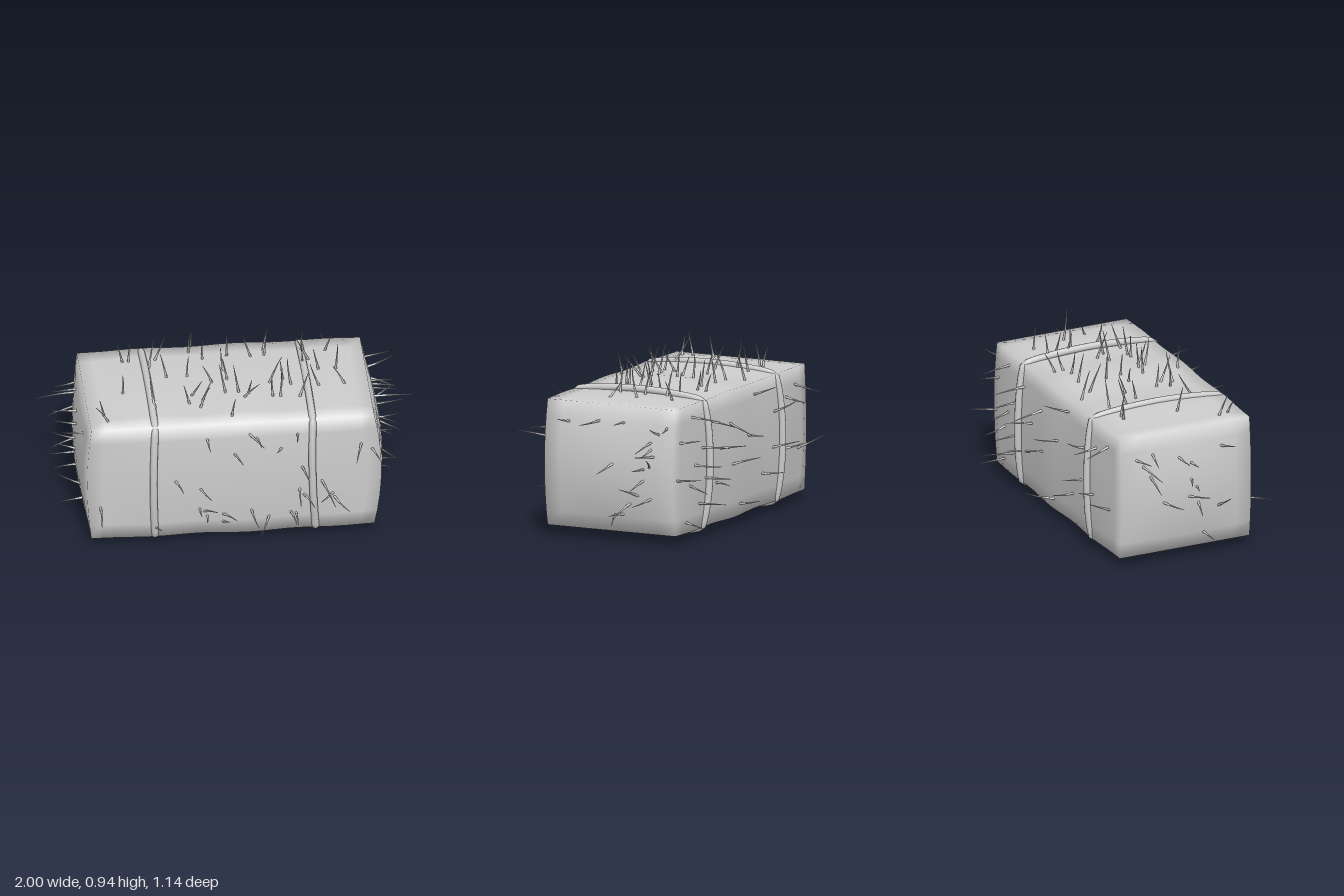
import * as THREE from 'three';
import { mergeVertices, mergeGeometries } from 'three/addons/utils/BufferGeometryUtils.js';

const HX = 0.765, HY = 0.345, HZ = 0.386, CY = 0.403;

// Small seeded generator for straw variation
let seed = 7;
function rand() {
  seed = (seed * 16807) % 2147483647;
  return seed / 2147483647;
}
const range = (a, b) => a + (b - a) * rand();

// Pushes a point of the plain box outwards into the lumpy bale shape
function bulge(p) {
  const u = p.x / HX, v = p.y / HY, w = p.z / HZ;
  const u4 = 1 - u ** 4, v2 = 1 - v * v, w2 = 1 - w * w;
  const wave = 0.01 * Math.cos((p.x - 0.08) * 12);
  const sag = v < 0 ? 0.012 * Math.exp(-(((p.x - 0.1) / 0.2) ** 2)) : 0;
  return p.set(
    p.x + u * v2 * (0.03 + 0.033 * w2) + 0.008 * v2,
    p.y + v * u4 * (0.002 + 0.018 * w2 + (wave + sag) * (0.25 + 0.75 * w2)) + CY,
    p.z + w * u4 * (0.005 + 0.022 * v2 + 0.3 * wave)
  );
}

// One tapering, slightly bent straw standing on a point of a face
function makeStraw(foot, normal, length, tilt) {
  const g = new THREE.CylinderGeometry(0.0015, 0.008, length, 5, 3);
  g.translate(0, length / 2, 0);
  const pos = g.attributes.position, bend = range(-0.025, 0.025);
  for (let i = 0; i < pos.count; i++) {
    pos.setX(i, pos.getX(i) + bend * (pos.getY(i) / length) ** 2);
  }
  g.rotateY(range(0, Math.PI * 2));
  const dir = normal.clone().add(new THREE.Vector3(range(-tilt, tilt), range(-tilt, tilt), range(-tilt, tilt))).normalize();
  g.applyQuaternion(new THREE.Quaternion().setFromUnitVectors(new THREE.Vector3(0, 1, 0), dir));
  return g.translate(foot.x, foot.y, foot.z);
}

// Straw roots, as pairs of coordinates on each face
const topXZ = [
  -0.53, -0.25, -0.50, -0.25, -0.40, -0.16, -0.36, -0.25, -0.17, -0.33, -0.31, -0.07, -0.56, 0.05,
  -0.20, -0.08, -0.10, -0.25, 0, -0.10, 0.01, -0.01, 0.03, -0.25, -0.01, 0.11, -0.20, 0.10,
  -0.21, 0.18, -0.14, 0.15, -0.16, 0.22, -0.07, 0, 0.06, 0.12, 0.11, 0.13, 0.08, 0.16,
  0.16, -0.23, 0.23, -0.24, 0.23, -0.29, 0.23, 0.03, 0.24, 0.16, 0.28, 0.16, 0.31, -0.01,
  0.35, 0.05, 0.38, 0.17, 0.43, -0.24, 0.47, -0.18, 0.51, -0.07, 0.56, -0.26, 0.60, -0.07,
  0.64, 0.08, 0.50, 0.08, 0.43, -0.13, -0.68, 0.24, -0.66, 0.30, 0, 0.32, -0.40, 0.22];
const frontXY = [
  -0.31, 0.41, -0.18, 0.35, -0.14, 0.66, 0, 0.56, 0.08, 0.68, 0.12, 0.65, 0.25, 0.58,
  0.34, 0.66, 0.34, 0.32, 0.35, 0.46, 0.45, 0.37, 0.52, 0.26, 0.52, 0.28, 0.67, 0.58,
  0.72, 0.54, -0.70, 0.26, -0.42, 0.12, -0.18, 0.22, -0.14, 0.17, -0.06, 0.18, -0.16, 0.20,
  -0.06, 0.13, 0.09, 0.21, 0.19, 0.16, 0.33, 0.16, 0.36, 0.28, 0.30, 0.17];
const leftZY = [
  0.06, 0.66, 0.24, 0.64, -0.09, 0.66, -0.04, 0.44, -0.30, 0.61, -0.34, 0.65, -0.26, 0.57,
  -0.26, 0.53, -0.28, 0.49, -0.22, 0.42, -0.25, 0.43, -0.22, 0.36, -0.19, 0.27, -0.14, 0.23,
  -0.09, 0.16, -0.04, 0.16, -0.26, 0.26];
const rightZY = [
  -0.26, 0.58, -0.30, 0.62, -0.20, 0.64, -0.22, 0.52, 0.02, 0.47, 0.05, 0.42, 0, 0.37,
  0.06, 0.33, 0.10, 0.14, 0.20, 0.62, 0.02, 0.56, -0.15, 0.36, 0.18, 0.28, -0.05, 0.60];
const backXY = [
  -0.62, 0.66, -0.50, 0.61, -0.47, 0.33, -0.35, 0.55, -0.33, 0.36, -0.22, 0.24, -0.05, 0.48,
  0.02, 0.12, 0.13, 0.35, 0.15, 0.58, 0.30, 0.28, 0.38, 0.63, 0.43, 0.33, 0.47, 0.50,
  0.50, 0.20, 0.55, 0.42, 0.58, 0.68, 0.60, 0.32, 0.64, 0.12, 0.70, 0.56, 0.72, 0.36,
  -0.15, 0.68, -0.64, 0.30, 0.26, 0.46];

const faces = [
  { name: 'topStraw', roots: topXZ, normal: [0, 1, 0], place: (a, b) => [a, HY, b] },
  { name: 'frontStraw', roots: frontXY, normal: [0, 0, 1], place: (a, b) => [a, b - CY, HZ] },
  { name: 'backStraw', roots: backXY, normal: [0, 0, -1], place: (a, b) => [a, b - CY, -HZ] },
  { name: 'leftEndStraw', roots: leftZY, normal: [1, 0, 0], place: (a, b) => [HX, b - CY, a], isEnd: true },
  { name: 'rightEndStraw', roots: rightZY, normal: [-1, 0, 0], place: (a, b) => [-HX, b - CY, a], isEnd: true }
];

// Twine loop hugging the bale at one x position
function makeTwine(x, lean) {
  const points = [];
  const add = (y, z) => points.push(new THREE.Vector3(x - lean * (y - CY) - 0.015 * Math.cos((y - CY) * 4) + 0.01, y, z));
  const half = [[0.778, 0], [0.77, 0.2], [0.752, 0.35], [0.738, 0.385], [0.7, 0.397], [0.58, 0.415], [0.4, 0.423],
    [0.22, 0.415], [0.1, 0.397], [0.062, 0.385], [0.046, 0.35], [0.026, 0.2], [0.02, 0]];
  half.forEach(([y, z]) => add(y, z));
  half.slice(1, -1).reverse().forEach(([y, z]) => add(y, -z));
  const path = new THREE.CatmullRomCurve3(points, true);
  return new THREE.TubeGeometry(path, 96, 0.02, 8, true);
}

export function createModel() {
  const group = new THREE.Group();
  const grey = new THREE.MeshStandardMaterial({ color: 0xcccccc });
  grey.name = 'straw grey';
  const add = (name, geometry) => {
    const mesh = new THREE.Mesh(geometry, grey);
    mesh.name = name;
    group.add(mesh);
  };
  seed = 7;

  // Bale body, with shared corners so the shading rolls over the edges
  let body = new THREE.BoxGeometry(HX * 2, HY * 2, HZ * 2, 20, 8, 8);
  body.deleteAttribute('uv');
  body.deleteAttribute('normal');
  body = mergeVertices(body);
  const pos = body.attributes.position, p = new THREE.Vector3();
  for (let i = 0; i < pos.count; i++) {
    bulge(p.fromBufferAttribute(pos, i));
    pos.setXYZ(i, p.x, p.y, p.z);
  }
  body.computeVertexNormals();
  add('baleBody', body);

  // Two twine loops
  add('rightTwine', makeTwine(-0.427, 0));
  add('leftTwine', makeTwine(0.432, 0.022));

  // Loose straws on every side but the underside; one straight straw per end reaches furthest
  for (const { name, roots, normal, place, isEnd } of faces) {
    const n = new THREE.Vector3(...normal), straws = [];
    for (let i = 0; i < roots.length; i += 2) {
      const foot = bulge(new THREE.Vector3(...place(roots[i], roots[i + 1]))).addScaledVector(n, -0.012);
      const furthest = isEnd && i === 0;
      const length = furthest ? 1 - Math.abs(foot.x) : range(0.12, isEnd ? 0.17 : 0.185);
      straws.push(makeStraw(foot, n, length, furthest ? 0 : 0.42));
    }
    add(name, mergeGeometries(straws));
  }
  return group;
}
